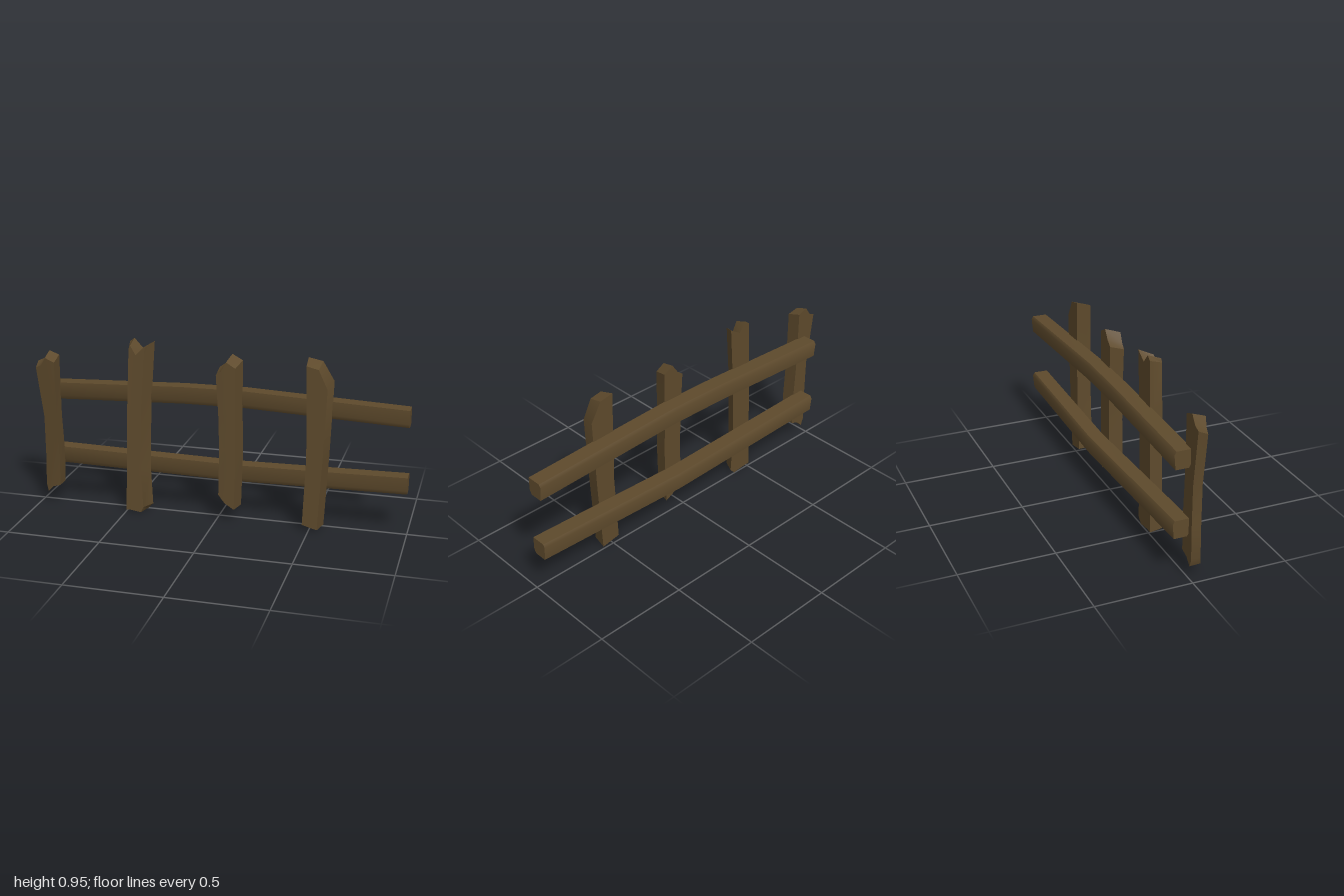
import * as THREE from 'three';
import { toCreasedNormals } from 'three/addons/utils/BufferGeometryUtils.js';

// Skin a stack of equal loops; each cap is a strip across the loop.
function loft(loops, crease) {
  const m = loops[0].length, n = m / 2, index = [];
  const quad = (a, b, c, d) => index.push(a, b, c, a, c, d);
  for (let k = 0; k < loops.length - 1; k++) {
    for (let i = 0; i < m; i++) {
      const j = (i + 1) % m, lo = k * m, hi = lo + m;
      quad(lo + i, lo + j, hi + j, hi + i);
    }
  }
  const last = (loops.length - 1) * m;
  for (let i = 0; i < n - 1; i++) {
    quad(last + i, last + i + 1, last + m - 2 - i, last + m - 1 - i);
    quad(m - 1 - i, m - 2 - i, i + 1, i);
  }
  const geo = new THREE.BufferGeometry();
  geo.setAttribute('position', new THREE.Float32BufferAttribute(loops.flat(2), 3));
  geo.setIndex(index);
  return toCreasedNormals(geo, crease);
}

// Picket: jagged bottom and top edges, with widths [left, right, y] between them.
// inset narrows the front face, depth is the thickness at the left and right.
function picket({ bottom, mids, top, inset, depth }) {
  const n = top.length;
  const rows = [
    bottom,
    ...mids.map(([l, r, y]) => top.map((_, i) => [l + (r - l) * i / (n - 1), y])),
    top,
  ];
  const loops = rows.map((row, k) => {
    const drop = k === rows.length - 1 ? 0.025 : 0;
    const front = row.map(([x, y], i) => {
      const t = i / (n - 1);
      return [x + inset[0] * (1 - t) + inset[1] * t, y - drop, depth[0] * (1 - t) + depth[1] * t];
    });
    const back = row.map(([x, y]) => [x, y, 0.003]).reverse();
    return [...front, ...back];
  });
  return loft(loops, 0.6);
}

// Rail: a chamfered beam through centres [x, y, z].
function rail(path, section) {
  return loft(path.map(([x, y, z]) => section.map(([dz, dy]) => [x, y + dy, z + dz])), 0.75);
}

const PICKETS = [
  {
    bottom: [[-0.97, 0.11], [-0.955, 0.07], [-0.92, 0.105], [-0.875, 0.12]],
    mids: [[-0.965, -0.87, 0.28], [-0.965, -0.88, 0.5]],
    top: [[-1, 0.795], [-0.965, 0.81], [-0.935, 0.855], [-0.88, 0.835]],
    inset: [0.005, 0], depth: [0.055, 0.08],
  },
  {
    bottom: [[-0.515, 0.015], [-0.48, 0.015], [-0.4, 0.005], [-0.37, 0.035]],
    mids: [[-0.505, -0.38, 0.25], [-0.495, -0.37, 0.6]],
    top: [[-0.48, 0.935], [-0.455, 0.955], [-0.41, 0.905], [-0.345, 0.945]],
    inset: [0.015, -0.035], depth: [0.075, 0.07],
  },
  {
    bottom: [[0.015, 0.155], [0.04, 0.13], [0.065, 0.11], [0.12, 0.08]],
    mids: [[0.02, 0.13, 0.4], [0.015, 0.125, 0.6]],
    top: [[0.002, 0.83], [0.035, 0.855], [0.07, 0.905], [0.125, 0.875]],
    inset: [0, -0.02], depth: [0.08, 0.085],
  },
  {
    bottom: [[0.46, 0.035], [0.51, 0.025], [0.565, 0.015]],
    mids: [[0.475, 0.585, 0.4]],
    top: [[0.465, 0.915], [0.54, 0.9], [0.6, 0.8]],
    inset: [0.005, -0.02], depth: [0.085, 0.09],
  },
];

// Rail cross-section as [z, y]
const SECTION = [
  [0.008, 0.047], [0.008, -0.025], [-0.005, -0.047],
  [-0.073, -0.047], [-0.08, 0.03], [-0.07, 0.047],
];

const RAILS = [
  ['lowerRail', [[-0.935, 0.272, 0], [0.1, 0.25, -0.012], [0.99, 0.27, 0]]],
  ['upperRail', [[-0.935, 0.632, 0], [-0.2, 0.661, 0], [0.12, 0.664, 0], [0.985, 0.628, 0]]],
];

export function createModel() {
  const group = new THREE.Group();
  group.name = 'woodenFence';
  const wood = new THREE.MeshStandardMaterial({ color: 0x5e4a2c });
  wood.name = 'brown wood';

  const add = (name, geometry) => {
    const mesh = new THREE.Mesh(geometry, wood);
    mesh.name = name;
    group.add(mesh);
  };
  PICKETS.forEach((p, i) => add(`picket${i + 1}`, picket(p)));
  RAILS.forEach(([name, path]) => add(name, rail(path, SECTION)));
  return group;
}
